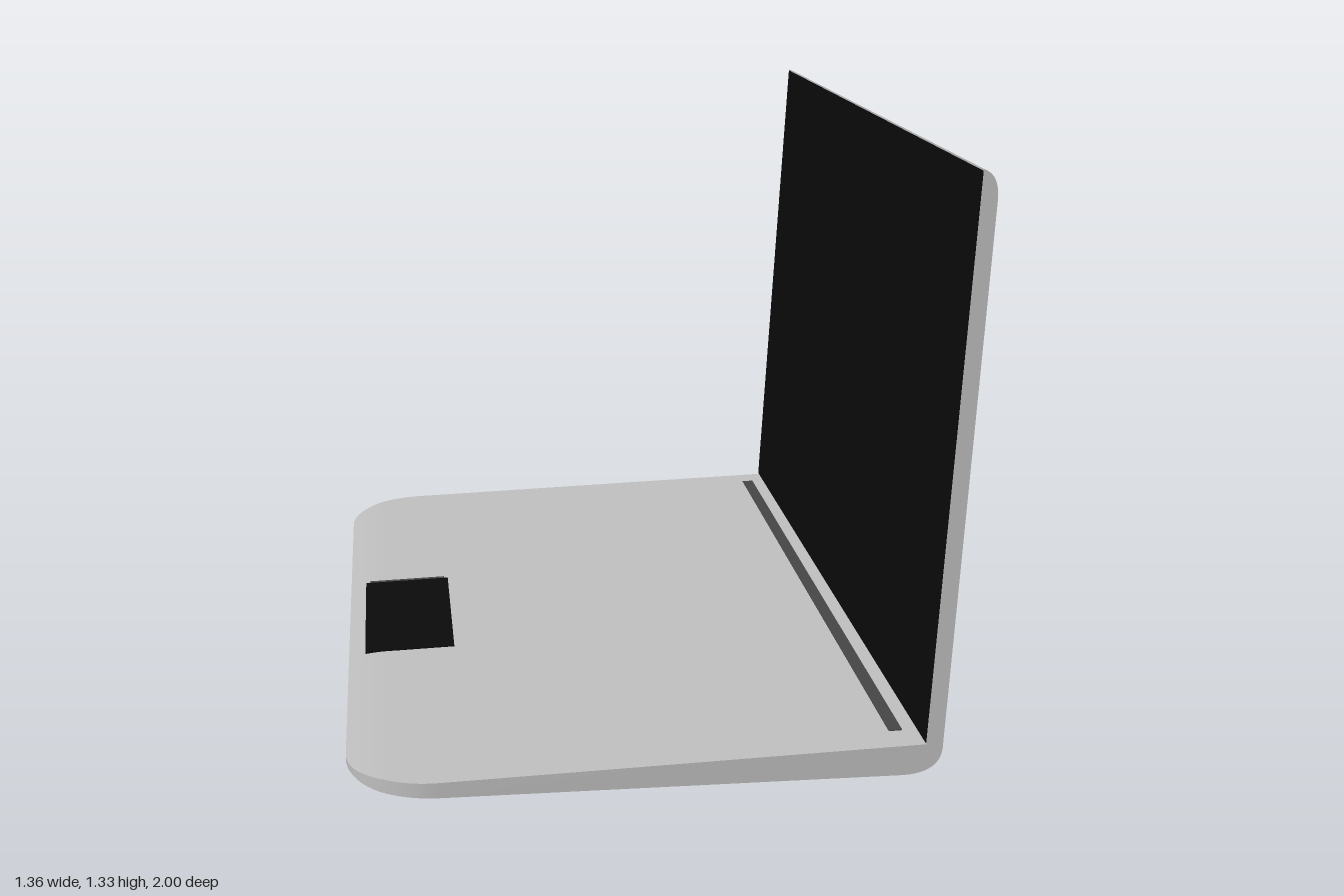
import * as THREE from 'three';
import { toCreasedNormals } from 'three/addons/utils/BufferGeometryUtils.js';

const FRONT = -0.68, SEAM = 0.5, CORNER = 0.2;
const SLOPE = 0.0332;

// Height of the deck and of the underside along the base
const deckY = (x) => {
  const d = x - FRONT;
  return 0.02 + 0.012 * Math.sin(Math.min(1, d / 0.11) * Math.PI / 2) + SLOPE * Math.max(0, d - 0.11);
};
const underY = (x) => 0.008 * (1 - Math.min(1, (x - FRONT) / 0.08)) ** 2;

// Base: rectangular sections lofted along x, narrowing at the rounded front corners
function baseGeometry() {
  const stations = [];
  for (let i = 0; i <= 16; i++) {
    const a = (i / 16) * Math.PI / 2;
    stations.push([FRONT + CORNER * (1 - Math.cos(a)), 1 - CORNER + CORNER * Math.sin(a)]);
  }
  stations.push([SEAM, 1]);
  const pos = [], index = [0, 1, 2, 0, 2, 3];
  stations.forEach(([x, w], i) => {
    const t = deckY(x), b = underY(x);
    pos.push(x, t, w, x, t, -w, x, b, -w, x, b, w);
    if (i === 0) return;
    for (let k = 0; k < 4; k++) {
      const n = (k + 1) % 4, p = (i - 1) * 4, q = i * 4;
      index.push(p + k, q + k, q + n, p + k, q + n, p + n);
    }
  });
  const g = new THREE.BufferGeometry();
  g.setAttribute('position', new THREE.Float32BufferAttribute(pos, 3));
  g.setIndex(index);
  return toCreasedNormals(g, 0.6);
}

// Hinge bend and lid: one side profile extruded across the width
function lidGeometry() {
  const s = new THREE.Shape();
  s.moveTo(SEAM, 0);
  s.lineTo(0.53, 0);
  s.quadraticCurveTo(0.608, 0.004, 0.612, 0.06);
  s.lineTo(0.677, 1.265);
  s.quadraticCurveTo(0.678, 1.315, 0.645, 1.325);
  s.lineTo(0.575, 0.07);
  s.lineTo(SEAM, deckY(SEAM));
  s.closePath();
  const g = new THREE.ExtrudeGeometry(s, { depth: 2, bevelEnabled: false, curveSegments: 10 });
  g.translate(0, 0, -1);
  return toCreasedNormals(g, 0.6);
}

export function createModel() {
  const silver = new THREE.MeshStandardMaterial({ color: 0xbebebe });
  const black = new THREE.MeshStandardMaterial({ color: 0x0a0a0a });
  const darkGrey = new THREE.MeshStandardMaterial({ color: 0x454545 });
  silver.name = 'silver';
  black.name = 'black';
  darkGrey.name = 'darkGrey';

  const model = new THREE.Group();
  model.name = 'laptop';
  const add = (name, geometry, material) => {
    const mesh = new THREE.Mesh(geometry, material);
    mesh.name = name;
    model.add(mesh);
    return mesh;
  };

  add('base', baseGeometry(), silver);
  add('lid', lidGeometry(), silver);

  // Screen covering the inner face of the lid
  const lean = Math.atan2(0.07, 1.255);
  const screen = add('screen', new THREE.BoxGeometry(0.006, 1.25, 1.998), black);
  screen.position.set(0.611, 0.6975, 0);
  screen.rotation.z = -lean;

  // Thin plates lying on the sloping deck
  const plate = (name, x0, x1, z0, z1, lift, material) => {
    const x = (x0 + x1) / 2;
    const mesh = add(name, new THREE.BoxGeometry(x1 - x0, 0.008, z1 - z0), material);
    mesh.position.set(x, deckY(x) - 0.004 + lift, (z0 + z1) / 2);
    mesh.rotation.z = Math.atan(SLOPE);
  };
  plate('trackpad', -0.64, -0.42, -0.25, 0.24, 0.003, black);
  plate('trackpadEdge', -0.63, -0.43, -0.265, -0.25, 0.002, darkGrey);
  plate('speakerStrip', 0.512, 0.542, -0.93, 0.92, 0.002, darkGrey);

  return model;
}
